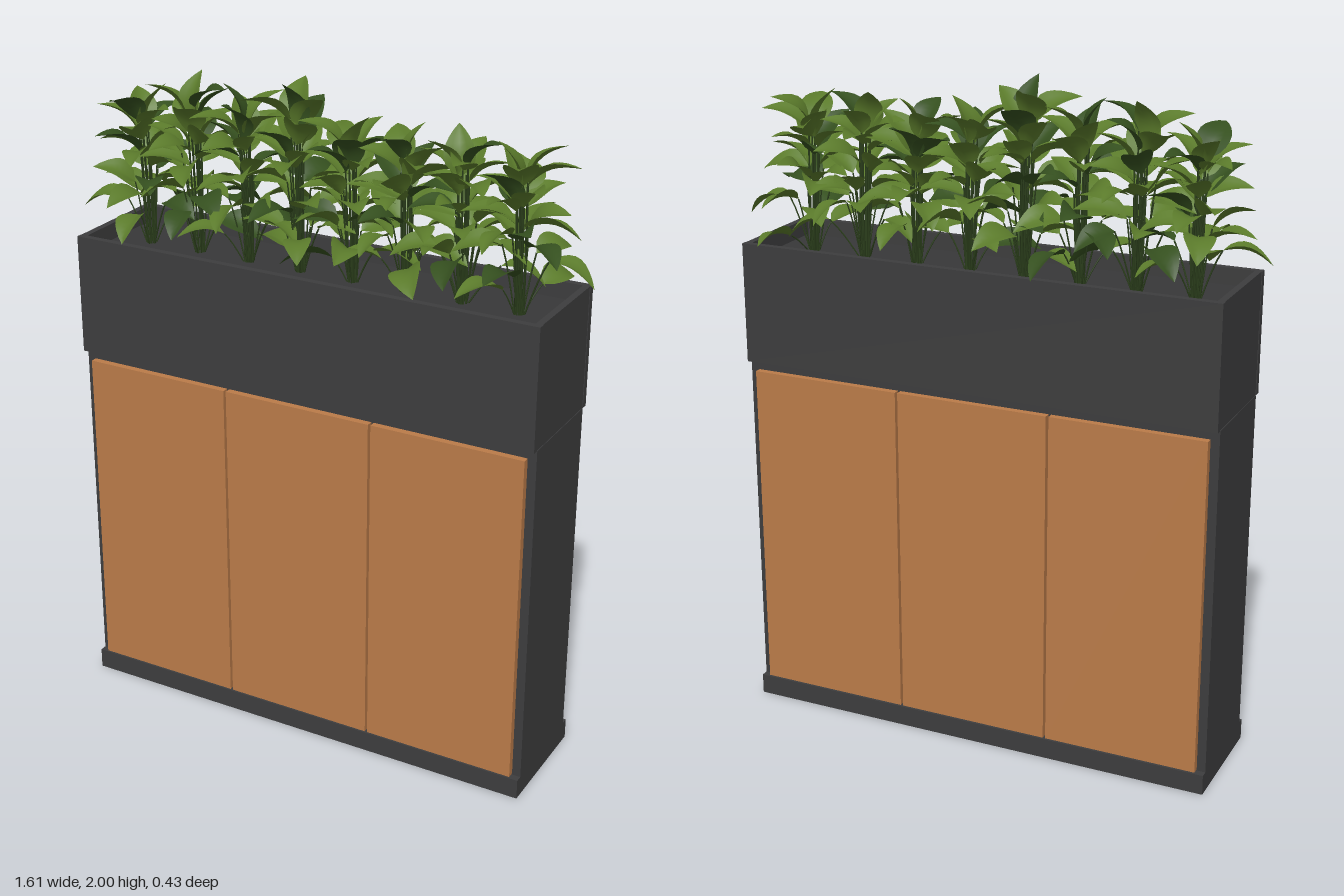
import * as THREE from 'three';
import { mergeGeometries } from 'three/addons/utils/BufferGeometryUtils.js';

const mat = (name, color, side = THREE.FrontSide) => {
  const m = new THREE.MeshStandardMaterial({ color, side });
  m.name = name;
  return m;
};

// small seeded random generator
function seeded(seed) {
  return () => {
    seed = (seed * 1664525 + 1013904223) % 4294967296;
    return seed / 4294967296;
  };
}

// broad pointed leaf of unit length along +z, folded at the midrib and arching down
function leafGeometry() {
  const rows = 8, pos = [], index = [];
  for (let i = 0; i <= rows; i++) {
    const t = i / rows;
    const w = 0.31 * Math.pow(Math.sin(Math.PI * Math.pow(t, 0.75)), 0.85);
    for (let c = -2; c <= 2; c++) {
      const s = c / 2;
      pos.push(s * w, Math.abs(s) * w * 0.35 + 0.12 * Math.sin(Math.PI * t) - 0.12 * t * t, t);
    }
  }
  for (let i = 0; i < rows; i++) {
    for (let c = 0; c < 4; c++) {
      const a = i * 5 + c, b = a + 5;
      index.push(a, b, a + 1, a + 1, b, b + 1);
    }
  }
  const g = new THREE.BufferGeometry();
  g.setAttribute('position', new THREE.Float32BufferAttribute(pos, 3));
  g.setIndex(index);
  g.computeVertexNormals();
  return g;
}

export function createModel() {
  const model = new THREE.Group();
  model.name = 'planterCabinet';
  const charcoal = mat('charcoal', 0x3d3d3e);
  const wood = mat('wood', 0xba7b49);
  const soil = mat('soil', 0x383839);
  const leafLight = mat('leafGreen', 0x5b7b2b, THREE.DoubleSide);
  const leafDark = mat('darkLeafGreen', 0x35501f, THREE.DoubleSide);
  const stemGreen = mat('stemGreen', 0x2c401c);

  // box given by its limits
  const box = (name, material, x0, x1, y0, y1, z0, z1) => {
    const m = new THREE.Mesh(new THREE.BoxGeometry(x1 - x0, y1 - y0, z1 - z0), material);
    m.position.set((x0 + x1) / 2, (y0 + y1) / 2, (z0 + z1) / 2);
    m.name = name;
    model.add(m);
  };

  // cabinet
  const W = 0.738, D = 0.182;
  box('base', charcoal, -W, W, 0, 0.062, -D, D);
  box('cabinetBody', charcoal, -W, W, 0.062, 1.116, -0.16, 0.16);
  for (const s of [-1, 1]) {
    for (const x of [-0.477, 0, 0.477]) {
      const z = [s * 0.16, s * 0.181].sort((a, b) => a - b);
      box('doorPanel', wood, x - 0.2345, x + 0.2345, 0.066, 1.088, z[0], z[1]);
    }
  }

  // open planter trough
  const T = 0.02;
  for (const s of [-1, 1]) {
    const z = [s * (D - T), s * D].sort((a, b) => a - b);
    const x = [s * (W - T - 0.002), s * (W - 0.002)].sort((a, b) => a - b);
    box('troughLongWall', charcoal, -W, W, 1.116, 1.48, z[0], z[1]);
    box('troughEndWall', charcoal, x[0], x[1], 1.116, 1.48, -D + T, D - T);
  }
  box('soil', soil, -W + T, W - T, 1.116, 1.43, -D + T, D - T);

  // plants: stems fan out from the soil, wide leaves low down and upright leaves on top
  const rnd = seeded(11);
  const leaf = leafGeometry();
  const tops = [1.92, 1.97, 1.96, 2.0, 1.93, 1.92, 1.93, 1.92];
  const up = new THREE.Vector3(0, 1, 0);
  tops.forEach((top, p) => {
    const cx = -0.6 + p * 0.1714, light = [], dark = [], stems = [];
    const count = 28;
    for (let i = 0; i < count; i++) {
      const t = i / (count - 1);
      const az = i * 2.4 + p * 1.3 + rnd() * 0.5;
      const last = i === count - 1;
      const elev = last ? 1.3 : -0.15 + t * 1.0 + (rnd() - 0.5) * 0.5;
      const len = 0.125 + rnd() * 0.035;
      const reach = 0.225 * (1 - 0.62 * t) * (0.85 + rnd() * 0.2);
      const r = last ? 0.01 : Math.max(0.015, reach - len * Math.cos(elev));
      const tipY = 1.5 + (top - 1.5) * Math.pow(t, 0.85);
      const y = Math.max(1.45, tipY - len * Math.sin(elev));
      const base = new THREE.Vector3(cx + Math.sin(az) * r, y, Math.cos(az) * r + 0.02 * t);
      const q = new THREE.Quaternion().setFromEuler(
        new THREE.Euler(-elev, az, (rnd() - 0.5) * 0.9, 'YXZ'));
      const m = new THREE.Matrix4().compose(base, q, new THREE.Vector3(len, len, len));
      (rnd() < 0.25 ? dark : light).push(leaf.clone().applyMatrix4(m));
      // stalk curving from the root to the leaf
      const root = new THREE.Vector3(cx + Math.sin(az) * 0.012, 1.42, Math.cos(az) * 0.012);
      const bend = root.clone().lerp(base, 0.6).addScaledVector(up, 0.15 * (y - 1.42));
      stems.push(new THREE.TubeGeometry(
        new THREE.QuadraticBezierCurve3(root, bend, base), 5, 0.0025, 4));
    }
    const plant = new THREE.Group();
    plant.name = 'plant';
    const add = (name, list, material) => {
      if (!list.length) return;
      const mesh = new THREE.Mesh(mergeGeometries(list), material);
      mesh.name = name;
      plant.add(mesh);
    };
    add('lightLeaves', light, leafLight);
    add('darkLeaves', dark, leafDark);
    add('stems', stems, stemGreen);
    model.add(plant);
  });
  return model;
}
